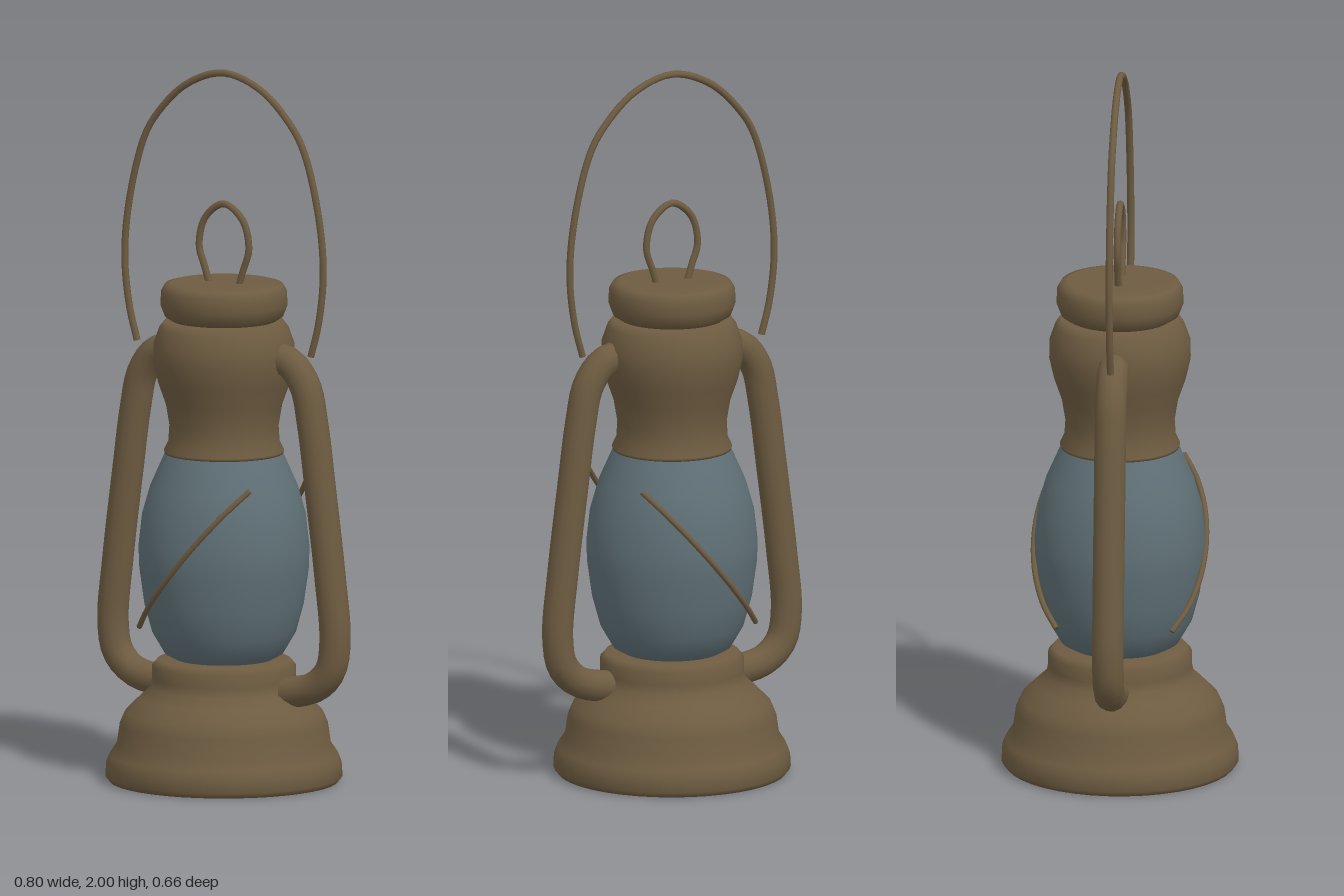
import * as THREE from 'three';

const metal = new THREE.MeshStandardMaterial({ color: 0x6e5c41 });
metal.name = 'aged brass';
const glass = new THREE.MeshStandardMaterial({ color: 0x5f7076 });
glass.name = 'smoky glass';

function addMesh(parent, name, geometry, material) {
  const mesh = new THREE.Mesh(geometry, material);
  mesh.name = name;
  parent.add(mesh);
  return mesh;
}

// Turned part from [radius, height] pairs, bottom to top
function turned(parent, name, profile, material) {
  const points = profile.map(([r, y]) => new THREE.Vector2(r, y));
  return addMesh(parent, name, new THREE.LatheGeometry(points, 40), material);
}

// Round rod through points, closed with a disc at both ends
function rod(parent, name, coords, radius, segments, sides) {
  const group = new THREE.Group();
  group.name = name;
  const curve = new THREE.CatmullRomCurve3(coords.map(([x, y, z = 0]) => new THREE.Vector3(x, y, z)));
  addMesh(group, name + 'Rod', new THREE.TubeGeometry(curve, segments, radius, sides), metal);
  for (const t of [0, 1]) {
    const outward = curve.getTangentAt(t).multiplyScalar(t ? 1 : -1);
    const cap = addMesh(group, name + 'End', new THREE.CircleGeometry(radius, sides), metal);
    cap.position.copy(curve.getPointAt(t));
    cap.quaternion.setFromUnitVectors(new THREE.Vector3(0, 0, 1), outward);
  }
  parent.add(group);
}

// Full arch from its right half, listed from foot to crown
function arch(half) {
  return [...half, ...half.slice(0, -1).reverse().map(([x, y]) => [-x, y])];
}

export function createModel() {
  const lantern = new THREE.Group();
  lantern.name = 'lantern';

  // Fuel tank and burner collar
  turned(lantern, 'base', [
    [0, 0], [0.318, 0], [0.33, 0.015], [0.328, 0.05], [0.318, 0.075], [0.298, 0.105],
    [0.29, 0.16], [0.275, 0.195], [0.235, 0.235], [0.205, 0.262], [0.2, 0.29],
    [0.2, 0.325], [0.185, 0.342], [0.12, 0.345], [0, 0.345],
  ], metal);

  // Glass globe
  turned(lantern, 'globe', [
    [0.12, 0.335], [0.165, 0.36], [0.2, 0.42], [0.222, 0.5], [0.236, 0.6], [0.238, 0.66],
    [0.228, 0.75], [0.205, 0.83], [0.165, 0.92], [0.155, 0.94],
  ], glass);

  // Chimney
  turned(lantern, 'chimney', [
    [0, 0.922], [0.165, 0.922], [0.167, 0.93], [0.155, 0.955], [0.152, 1.0], [0.162, 1.06],
    [0.183, 1.12], [0.197, 1.18], [0.196, 1.23], [0.18, 1.275], [0.165, 1.295], [0, 1.3],
  ], metal);

  // Cap
  turned(lantern, 'cap', [
    [0, 1.295], [0.145, 1.295], [0.165, 1.308], [0.177, 1.34], [0.175, 1.378],
    [0.164, 1.397], [0.145, 1.402], [0, 1.402],
  ], metal);

  // Air tubes at the two sides
  for (const side of [1, -1]) {
    rod(lantern, side > 0 ? 'leftSideTube' : 'rightSideTube', [
      [0.16, 1.205], [0.215, 1.19], [0.262, 1.13], [0.285, 1.03], [0.31, 0.85],
      [0.342, 0.6], [0.358, 0.42], [0.342, 0.335], [0.29, 0.285], [0.17, 0.258],
    ].map(([x, y]) => [x * side, y]), 0.044, 48, 14);
  }

  // Carrying handle
  rod(lantern, 'handle', arch([
    [0.28, 1.215], [0.305, 1.31], [0.32, 1.45], [0.305, 1.61], [0.257, 1.79],
    [0.215, 1.86], [0.12, 1.95], [0, 1.99],
  ]), 0.01, 80, 8);

  // Lifting ring on the cap
  rod(lantern, 'capRing', arch([
    [0.046, 1.39], [0.062, 1.44], [0.08, 1.5], [0.06, 1.58], [0, 1.622],
  ]), 0.01, 48, 8);

  // Guard wires slanting across the globe, front and back
  for (const face of [1, -1]) {
    const path = [];
    for (let i = 0; i <= 8; i++) {
      const x = -0.178 + 0.356 * i / 8;
      path.push([x, 0.44 + 0.41 * i / 8, face * Math.sqrt(0.24 ** 2 - x * x)]);
    }
    rod(lantern, face > 0 ? 'frontGuardWire' : 'backGuardWire', path, 0.008, 32, 8);
  }

  return lantern;
}
